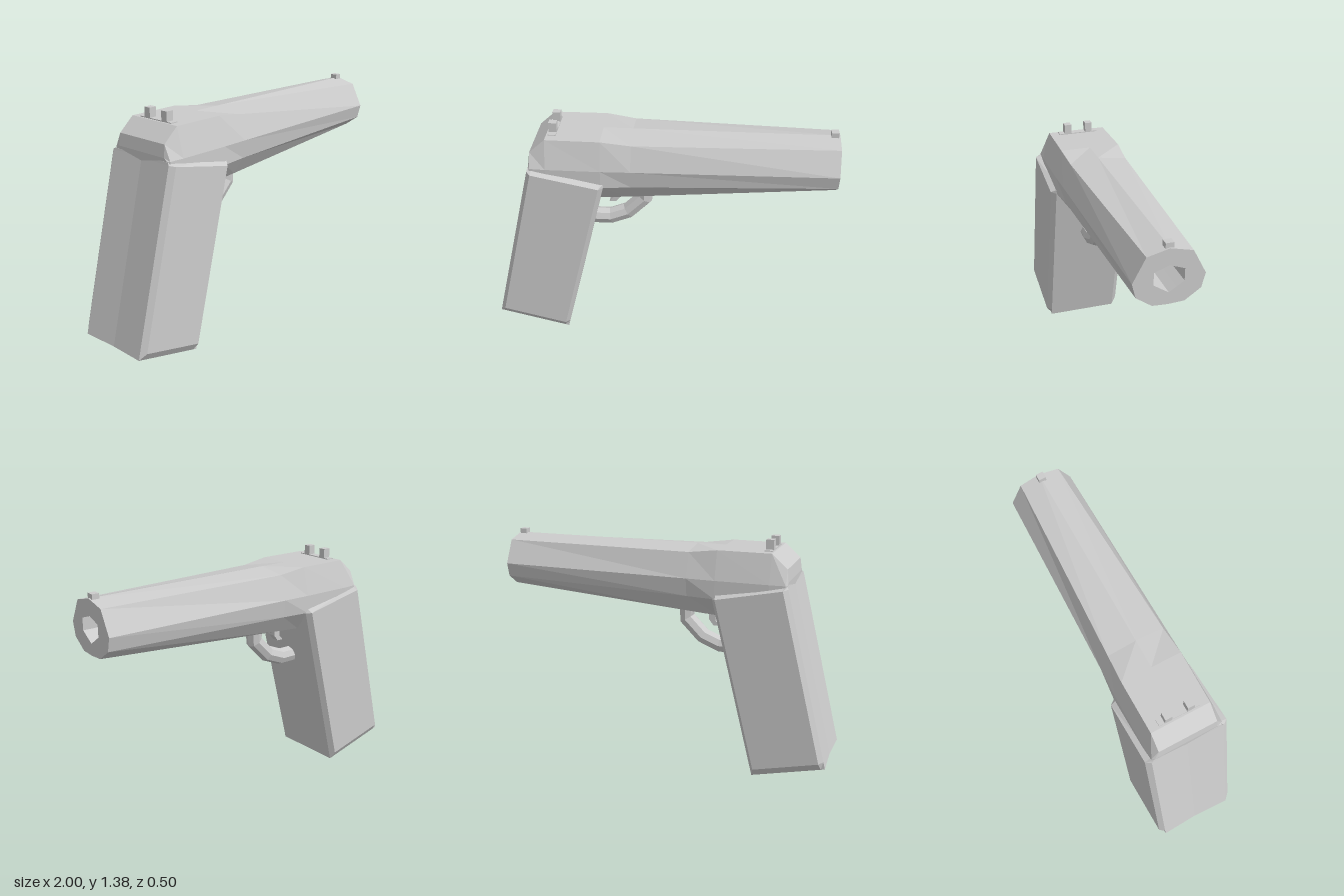
import * as THREE from 'three';

const material = new THREE.MeshStandardMaterial({ color: 0xcccccc, flatShading: true });

function addMesh(parent, name, geometry, x = 0, y = 0, z = 0) {
  const mesh = new THREE.Mesh(geometry, material);
  mesh.name = name;
  mesh.position.set(x, y, z);
  parent.add(mesh);
  return mesh;
}

// Skins a series of half cross-sections, each mirrored in z, and closes both ends.
function loft(halves) {
  const rings = halves.map((half) => [
    ...half,
    ...half.slice(1, -1).reverse().map(([x, y, z]) => [x, y, -z]),
  ]);
  const n = rings[0].length;
  const tris = [];
  for (let i = 0; i < rings.length - 1; i++) {
    for (let j = 0; j < n; j++) {
      const k = (j + 1) % n;
      const [a, b, c, d] = [rings[i][j], rings[i][k], rings[i + 1][k], rings[i + 1][j]];
      tris.push([a, b, c], [a, c, d]);
    }
  }
  const cap = (ring, flip) => {
    const mid = [0, 1, 2].map((c) => ring.reduce((s, p) => s + p[c], 0) / n);
    ring.forEach((p, j) => {
      const q = ring[(j + 1) % n];
      tris.push(flip ? [mid, q, p] : [mid, p, q]);
    });
  };
  cap(rings[0], true);
  cap(rings[rings.length - 1], false);

  // Turn the faces outward if the enclosed volume is negative
  const v = (p) => new THREE.Vector3(...p);
  const volume = tris.reduce((s, [a, b, c]) => s + v(a).dot(v(b).cross(v(c))), 0);
  if (volume < 0) tris.forEach((t) => t.reverse());

  const geometry = new THREE.BufferGeometry();
  geometry.setAttribute('position', new THREE.Float32BufferAttribute(tris.flat(2), 3));
  geometry.computeVertexNormals();
  return geometry;
}

// Slide and barrel: sections along x, running into the bore at the muzzle
function slideGeometry() {
  const bore = [[0, 1.227], [0.04, 1.213], [0.08, 1.2], [0.08, 1.13], [0.04, 1.103], [0, 1.077]];
  const sections = [
    [-0.74, [[0, 1.17], [0.18, 1.17], [0.2, 1.155], [0.2, 1.05], [0.13, 0.97], [0, 0.95]]],
    [-0.73, [[0, 1.24], [0.175, 1.24], [0.215, 1.155], [0.215, 1.05], [0.13, 0.96], [0, 0.94]]],
    [-0.64, [[0, 1.32], [0.175, 1.32], [0.22, 1.155], [0.22, 1.05], [0.135, 0.935], [0, 0.905]]],
    [-0.33, [[0, 1.32], [0.178, 1.32], [0.22, 1.155], [0.22, 1.05], [0.135, 0.935], [0, 0.905]]],
    [-0.16, [[0, 1.32], [0.168, 1.297], [0.215, 1.155], [0.2, 1.05], [0.13, 0.945], [0, 0.91]]],
    [1, [[0, 1.32], [0.12, 1.29], [0.19, 1.155], [0.17, 1.075], [0.085, 1.015], [0, 1.01]]],
    [1, bore],
    [0.8, bore],
  ];
  return loft(sections.map(([x, half]) => half.map(([z, y]) => [x, y, z])));
}

// Grip: upright chamfered block with a magazine well in its base
function gripGeometry() {
  const ring = (u0, u1, chamfer, inner, outer, v0, v1 = v0) => [
    [u0 + 0.01, v0, 0], [u0, v0, inner], [u0 + chamfer, v0, outer],
    [u1 - chamfer, v1, outer], [u1, v1, inner], [u1, v1, 0],
  ];
  return loft([
    ring(0.06, 0.37, 0.01, 0.16, 0.16, 0.1),
    ring(0.06, 0.37, 0.01, 0.16, 0.16, 0),
    ring(0, 0.438, 0.024, 0.22, 0.22, 0),
    ring(0, 0.438, 0.024, 0.22, 0.25, 0.045),
    ring(0, 0.438, 0.024, 0.22, 0.25, 1.055, 1.07),
    ring(0, 0.438, 0.024, 0.21, 0.2, 1.07, 1.1),
  ]);
}

// Trigger guard: eight-sided bar swept along a bent path
function guardGeometry() {
  const path = [[-0.1, 0.93], [-0.1, 0.865], [-0.2, 0.765], [-0.305, 0.723], [-0.43, 0.723]];
  const radius = 0.05;
  return loft(path.map(([x, y], i) => {
    const a = path[Math.max(i - 1, 0)];
    const b = path[Math.min(i + 1, path.length - 1)];
    const normal = new THREE.Vector2(a[1] - b[1], b[0] - a[0]).normalize();
    return [0, 1, 2, 3, 4].map((k) => {
      const t = (k * Math.PI) / 4;
      const r = radius * Math.cos(t);
      return [x + normal.x * r, y + normal.y * r, k % 4 ? radius * Math.sin(t) : 0];
    });
  }));
}

export function createModel() {
  const model = new THREE.Group();
  model.name = 'pistol';

  addMesh(model, 'slide', slideGeometry());

  // Leaning handle with the magazine base showing below
  const handle = new THREE.Group();
  handle.name = 'handle';
  handle.position.set(-1, 0.115, 0);
  handle.rotation.z = -0.243;
  model.add(handle);
  addMesh(handle, 'grip', gripGeometry());
  addMesh(handle, 'magazine', new THREE.BoxGeometry(0.23, 0.135, 0.22), 0.215, 0.0325, 0);

  addMesh(model, 'triggerGuard', guardGeometry());

  // Hooked trigger
  const outline = [[-0.285, 0.93], [-0.24, 0.93], [-0.243, 0.875], [-0.27, 0.84], [-0.31, 0.84], [-0.283, 0.87]];
  const trigger = new THREE.ExtrudeGeometry(
    new THREE.Shape(outline.map(([x, y]) => new THREE.Vector2(x, y))),
    { depth: 0.05, bevelEnabled: false },
  );
  addMesh(model, 'trigger', trigger, 0, 0, -0.025);

  // Sights
  addMesh(model, 'frontSight', new THREE.BoxGeometry(0.042, 0.045, 0.044), 0.97, 1.322, 0);
  addMesh(model, 'rearSightBase', new THREE.BoxGeometry(0.045, 0.03, 0.24), -0.607, 1.31, 0);
  for (const side of [-1, 1]) {
    addMesh(model, 'rearSight', new THREE.BoxGeometry(0.045, 0.07, 0.042), -0.607, 1.345, side * 0.066);
  }

  return model;
}
